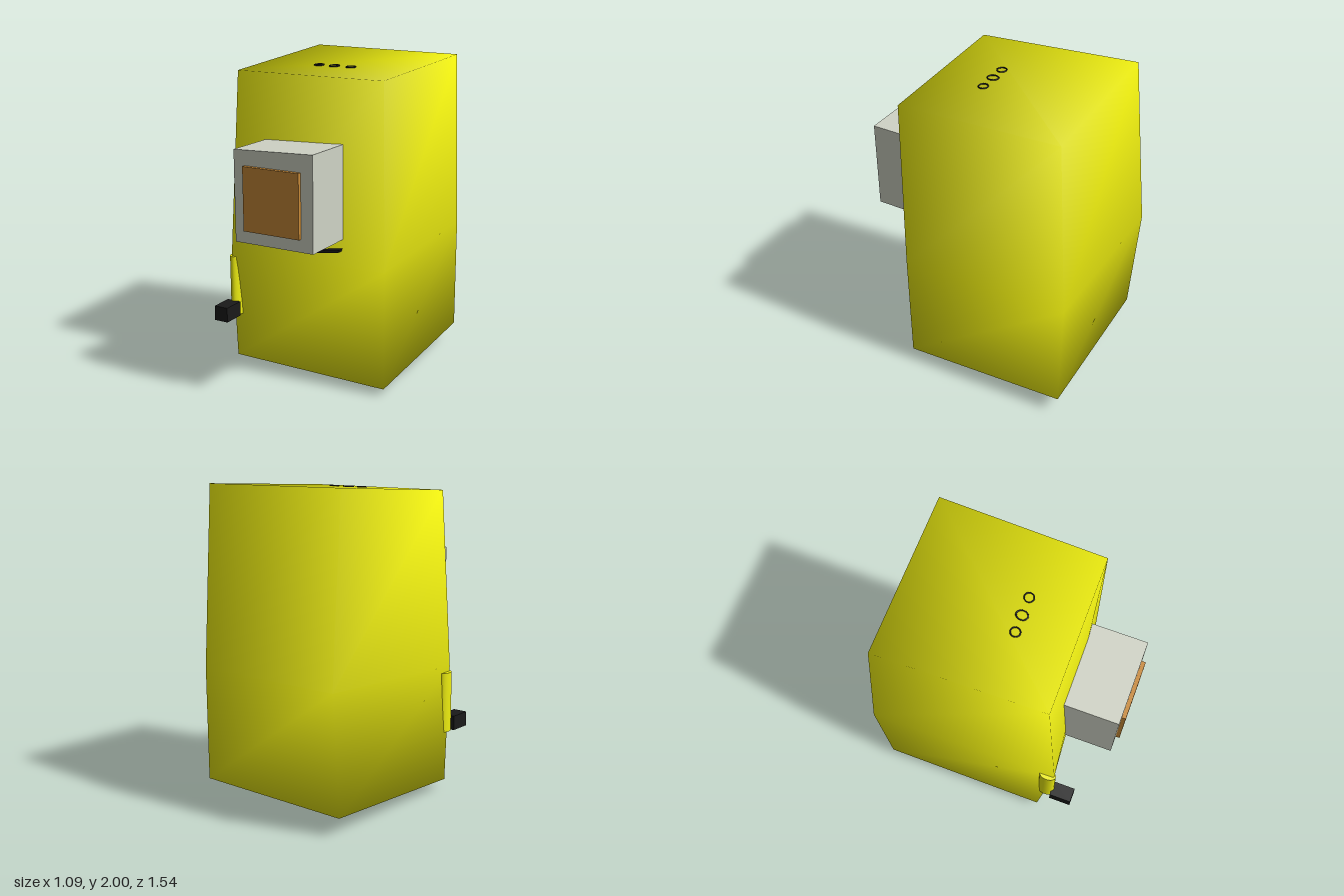
import * as THREE from 'three';

const paint = (color) => new THREE.MeshStandardMaterial({ color, side: THREE.DoubleSide });

export function createModel() {
  const model = new THREE.Group();
  const yellow = paint(0xf0f010), black = paint(0x1a1a1a), grey = paint(0xd0d4c6), orange = paint(0xc98b38);

  const add = (name, geometry, material, x = 0, y = 0, z = 0) => {
    const mesh = new THREE.Mesh(geometry, material);
    mesh.name = name;
    mesh.position.set(x, y, z);
    model.add(mesh);
    return mesh;
  };
  // Box given by its lower and upper limits
  const block = (name, material, [x0, x1], [y0, y1], [z0, z1]) =>
    add(name, new THREE.BoxGeometry(x1 - x0, y1 - y0, z1 - z0), material,
      (x0 + x1) / 2, (y0 + y1) / 2, (z0 + z1) / 2);

  // Body: three uneven four-cornered rings (front -x, front +x, back +x, back -x), smooth shaded
  const rings = [
    [[-0.535, 0.06, 0.37], [0.54, 0.05, 0.37], [0.54, 0.12, -0.715], [-0.545, 0.12, -0.72]],
    [[-0.5, 0.8, 0.46], [0.54, 0.8, 0.375], [0.535, 0.85, -0.725], [-0.54, 0.87, -0.77]],
    [[-0.475, 1.94, 0.38], [0.52, 1.94, 0.375], [0.525, 1.99, -0.66], [-0.51, 2, -0.66]],
  ];
  const index = [];
  const quad = (a, b, c, d) => index.push(a, b, c, a, c, d);
  for (let r = 0; r < 2; r++) {
    for (let i = 0; i < 4; i++) {
      const j = (i + 1) % 4;
      quad(r * 4 + i, r * 4 + j, r * 4 + 4 + j, r * 4 + 4 + i);
    }
  }
  quad(8, 9, 10, 11);
  quad(3, 2, 1, 0);
  const body = new THREE.BufferGeometry();
  body.setAttribute('position', new THREE.Float32BufferAttribute(rings.flat(2), 3));
  body.setIndex(index);
  body.computeVertexNormals();
  add('body', body, yellow);

  // Eye box, its top rising slightly towards +x, with a coloured panel
  const eyeBox = block('eyeBox', grey, [-0.265, 0.27], [0.975, 1.545], [0.33, 0.745]);
  const p = eyeBox.geometry.attributes.position;
  for (let i = 0; i < p.count; i++) {
    if (p.getY(i) > 0) p.setY(i, p.getY(i) + Math.sign(p.getX(i)) * 0.01);
  }
  eyeBox.geometry.computeVertexNormals();
  block('eyePanel', orange, [-0.19, 0.19], [1.055, 1.445], [0.72, 0.77]);

  // Mouth: thin tapering sliver
  const sliver = new THREE.Shape([[0.01, 0.87], [0.1, 0.876], [0.26, 0.9], [0.267, 0.918], [0.21, 0.912], [0.09, 0.889]]
    .map(([x, y]) => new THREE.Vector2(x, y)));
  add('mouth', new THREE.ExtrudeGeometry(sliver, { depth: 0.09, bevelEnabled: false }), black, 0, 0, 0.345);

  // Arm with its hand, on one side only
  const arm = add('arm', new THREE.CylinderGeometry(1, 1, 0.395, 24), yellow, -0.497, 0.57, 0.415);
  arm.scale.set(0.033, 1, 0.055);
  block('hand', black, [-0.545, -0.45], [0.375, 0.47], [0.455, 0.6]);

  // Two feet
  const foot = add('roundFoot', new THREE.CylinderGeometry(1, 1, 0.13, 24), yellow, 0.11, 0.07, -0.085);
  foot.scale.set(0.05, 1, 0.085);
  block('squareFoot', black, [-0.16, -0.07], [0.005, 0.1], [0.01, 0.12]);

  // Three thin rings on the sloping top
  for (const [x, stretch] of [[-0.098, 1], [0.01, 1.2], [0.125, 1]]) {
    const ring = add('topRing', new THREE.TorusGeometry(0.029, 0.004, 8, 28), black, x, 1.96, 0.042);
    ring.rotation.x = -Math.PI / 2 + 0.055;
    ring.scale.y = stretch;
  }
  return model;
}
